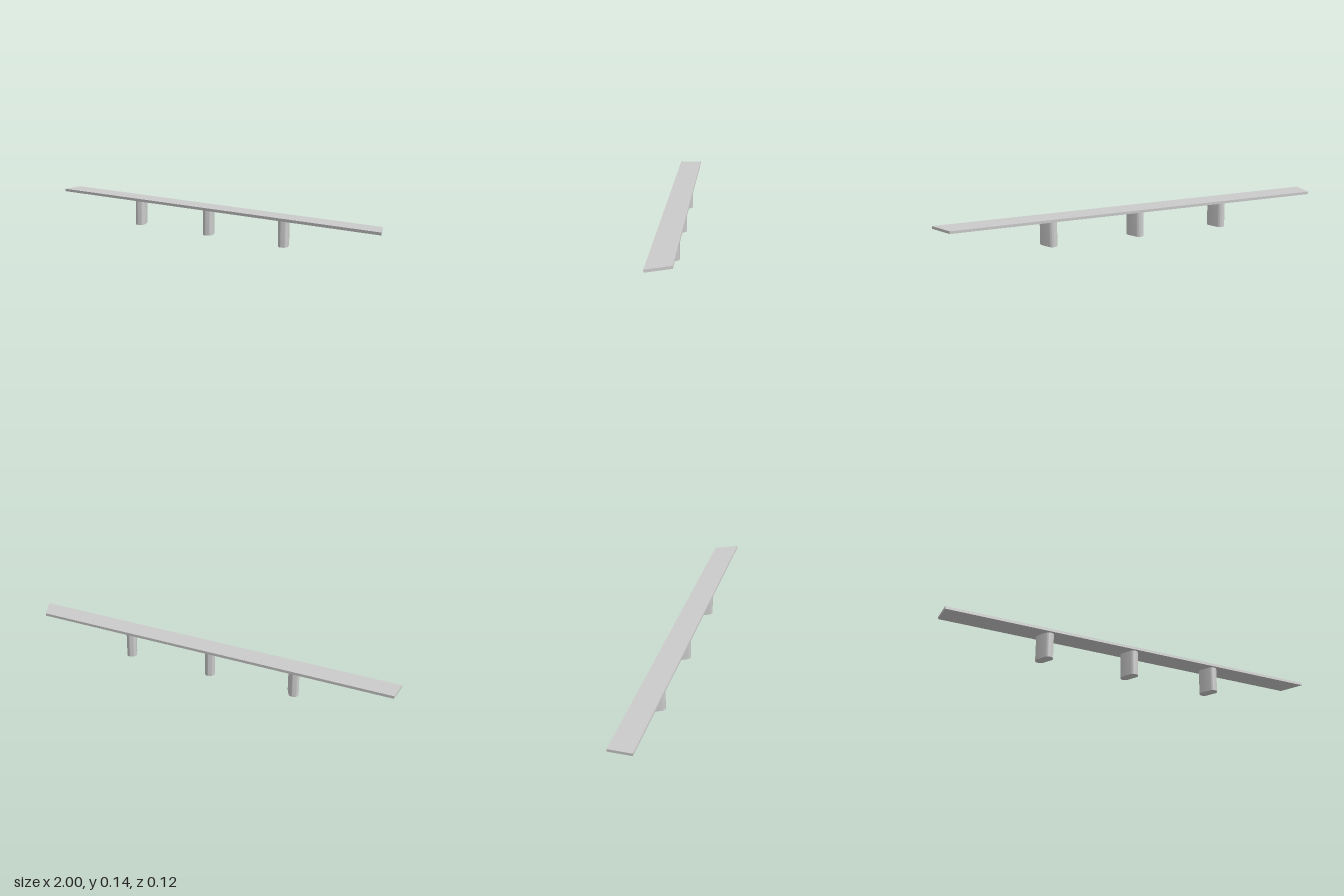
import * as THREE from 'three';
import { toCreasedNormals } from 'three/addons/utils/BufferGeometryUtils.js';

const DECK_BOTTOM = 0.13, DECK_TOP = 0.1435, DECK_HALF = 0.0585;
const SKEW = 0.49;

// Extrude a plan outline (x, -z) upwards from y = 0
function extrudeUp(shape, height, curveSegments = 8) {
  const geometry = new THREE.ExtrudeGeometry(shape, { depth: height, bevelEnabled: false, curveSegments });
  return geometry.rotateX(-Math.PI / 2);
}

export function createModel() {
  const model = new THREE.Group();
  model.name = 'bridge';
  const material = new THREE.MeshStandardMaterial({ color: 0xcccccc });

  // Flat deck, square at one end and skewed at the other
  const plan = new THREE.Shape([
    new THREE.Vector2(-1, -DECK_HALF),
    new THREE.Vector2(1, -DECK_HALF),
    new THREE.Vector2(0.941, DECK_HALF),
    new THREE.Vector2(-1, DECK_HALF),
  ]);
  const deck = new THREE.Mesh(extrudeUp(plan, DECK_TOP - DECK_BOTTOM), material);
  deck.name = 'deck';
  deck.position.y = DECK_BOTTOM;
  model.add(deck);

  // Round-nosed piers, turned to follow the skew
  const radius = 0.0245, half = 0.025;
  const section = new THREE.Shape();
  section.absarc(0, half, radius, 0, Math.PI, false);
  section.absarc(0, -half, radius, Math.PI, Math.PI * 2, false);
  section.closePath();
  const pierGeometry = toCreasedNormals(extrudeUp(section, DECK_BOTTOM), 0.6);

  [-0.478, -0.0185, 0.441].forEach((x, i) => {
    const pier = new THREE.Mesh(pierGeometry, material);
    pier.name = `pier${i + 1}`;
    pier.position.x = x;
    pier.rotation.y = SKEW;
    model.add(pier);
  });

  return model;
}
